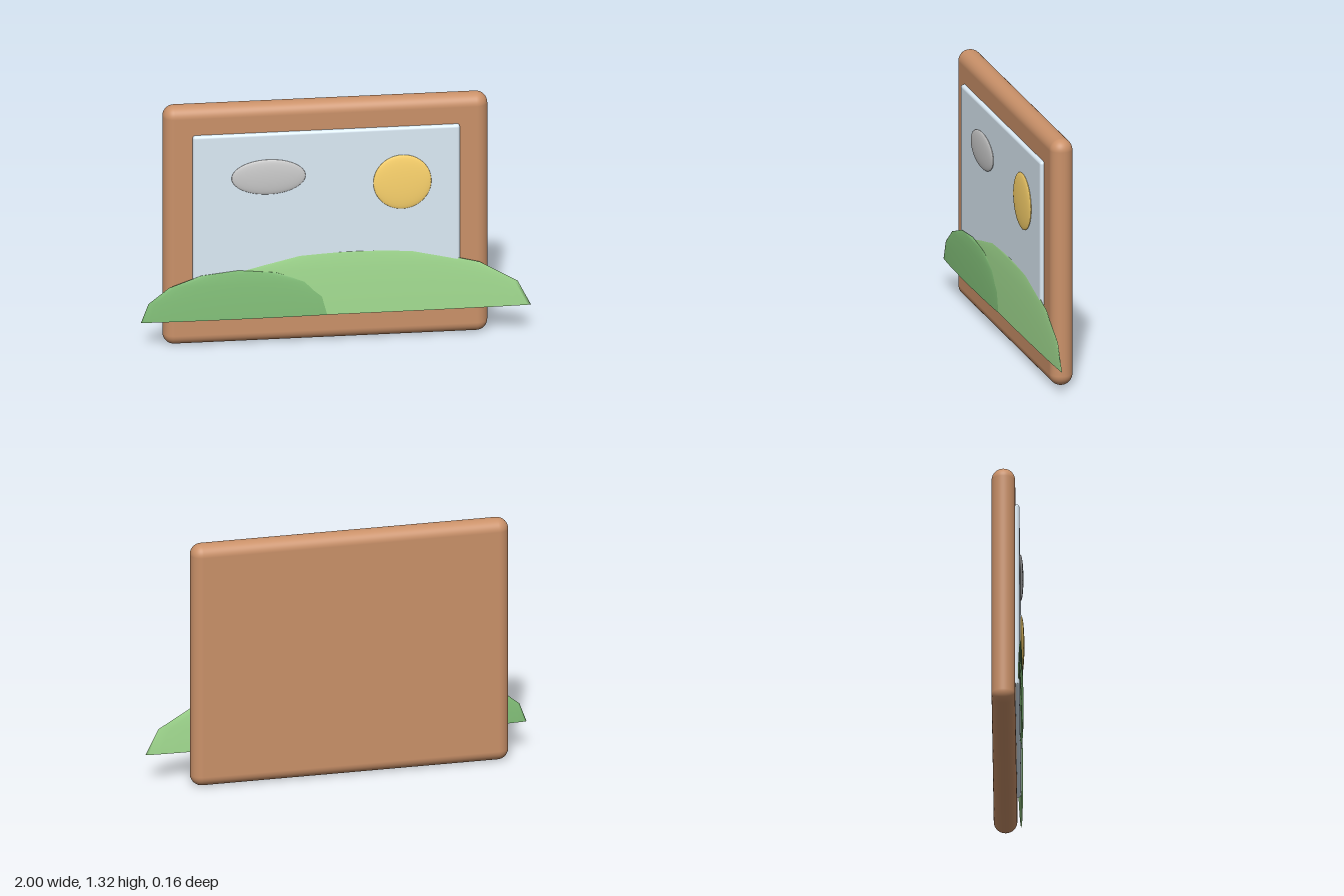
import * as THREE from 'three';
import { RoundedBoxGeometry } from 'three/addons/geometries/RoundedBoxGeometry.js';

export function createModel() {
  const model = new THREE.Group();
  model.name = 'landscapePicture';

  function add(name, geometry, color, x, y, z) {
    const material = new THREE.MeshStandardMaterial({ color });
    const mesh = new THREE.Mesh(geometry, material);
    mesh.name = name;
    mesh.position.set(x, y, z);
    model.add(mesh);
    return mesh;
  }

  // Flattened ball for the sun and the cloud
  function disc(name, color, x, y, rx, ry) {
    const geometry = new THREE.SphereGeometry(1, 40, 24).scale(rx, ry, 0.015);
    add(name, geometry, color, x, y, 0.064);
  }

  // Thin half dome with a few rings, giving an angular ridge line
  function hill(name, color, x, z, rx, ry) {
    const dome = new THREE.SphereGeometry(1, 32, 4, 0, Math.PI * 2, 0, Math.PI / 2);
    dome.scale(rx, ry, 0.014);
    add(name, dome, color, x, 0.155, z).material.side = THREE.DoubleSide;
  }

  // Backing board with fully rounded rim
  add('frame', new RoundedBoxGeometry(1.665, 1.315, 0.12, 8, 0.059), 0xca9169, -0.048, 0.6575, -0.02);

  // Sky panel standing slightly proud of the frame
  add('sky', new RoundedBoxGeometry(1.37, 1.02, 0.04, 4, 0.015), 0xdcebf6, -0.048, 0.6575, 0.041);

  disc('sun', 0xffd66e, 0.34, 0.87, 0.149, 0.149);
  disc('cloud', 0xcccccc, -0.346, 0.93, 0.19, 0.096);

  hill('farHill', 0xa4de92, 0.1, 0.058, 0.9, 0.355);
  hill('nearHill', 0x84c27a, -0.5, 0.066, 0.5, 0.265);

  return model;
}
